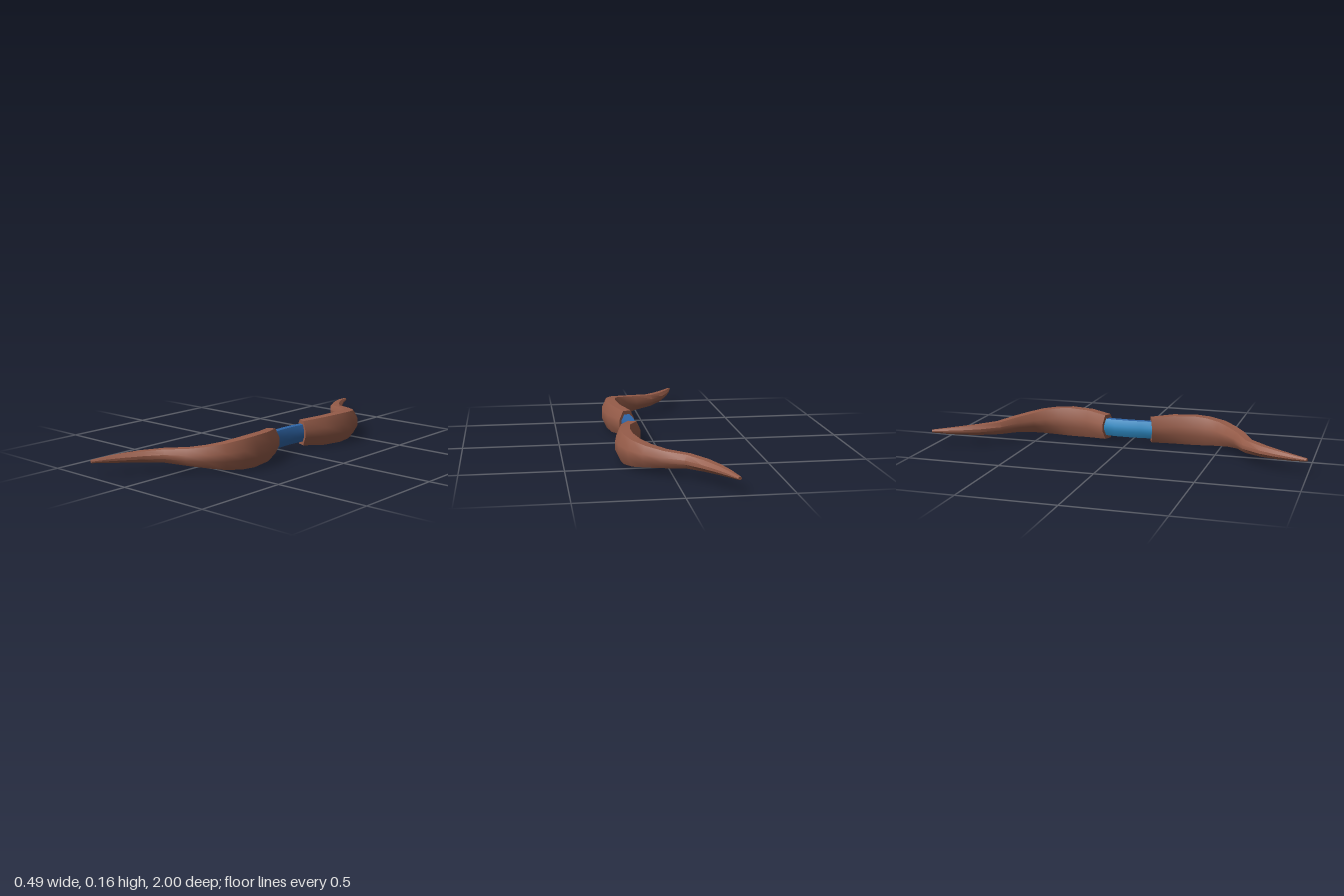
import * as THREE from 'three';
import { toCreasedNormals } from 'three/addons/utils/BufferGeometryUtils.js';

const MID_Y = 0.079;

// Eight-sided cross-section, scaled by half width and half height
const SECTION = [[1, -0.3], [1, 0.3], [0.5, 1], [-0.5, 1], [-1, 0.3], [-1, -0.3], [-0.5, -1], [0.5, -1]];

// Sweep the section along stations [x, z, halfWidth, halfHeight] running towards +z
function loft(stations, sides, capped) {
  const n = SECTION.length;
  const last = stations.length - 1;
  const positions = [];
  const index = [];
  stations.forEach(([x, z, w, h], i) => {
    const a = stations[Math.max(i - 1, 0)];
    const b = stations[Math.min(i + 1, last)];
    const t = new THREE.Vector2(b[0] - a[0], b[1] - a[1]).normalize();
    for (const [u, v] of SECTION) {
      positions.push(x + t.y * u * w, MID_Y + v * h, z - t.x * u * w);
    }
  });
  for (let i = 0; i < last; i++) {
    for (const j of sides) {
      const k = (j + 1) % n;
      const a = i * n + j, b = i * n + k, c = a + n, d = b + n;
      index.push(a, b, d, a, d, c);
    }
  }
  if (capped) {
    const e = last * n;
    for (let j = 1; j < n - 1; j++) {
      index.push(0, j + 1, j, e, e + j, e + j + 1);
    }
  }
  const geometry = new THREE.BufferGeometry();
  geometry.setAttribute('position', new THREE.Float32BufferAttribute(positions, 3));
  geometry.setIndex(index);
  return toCreasedNormals(geometry, 0.7);
}

export function createModel() {
  const group = new THREE.Group();
  const wood = new THREE.MeshStandardMaterial({ color: 0x965c49 });
  wood.name = 'brownWood';
  const lightBlue = new THREE.MeshStandardMaterial({ color: 0x2f8cc6 });
  lightBlue.name = 'lightBlueGrip';
  const darkBlue = new THREE.MeshStandardMaterial({ color: 0x2f66a8 });
  darkBlue.name = 'darkBlueGrip';

  const add = (name, geometry, material) => {
    const mesh = new THREE.Mesh(geometry, material);
    mesh.name = name;
    group.add(mesh);
  };

  // Recurved limbs, mirrored front to back
  const limb = [
    [0.127, 0.122, 0.045, 0.066],
    [0.175, 0.235, 0.047, 0.076],
    [0.190, 0.350, 0.050, 0.079],
    [0.184, 0.425, 0.050, 0.075],
    [0.155, 0.505, 0.050, 0.065],
    [0.105, 0.567, 0.047, 0.053],
    [0.035, 0.628, 0.041, 0.042],
    [-0.068, 0.685, 0.036, 0.033],
    [-0.135, 0.770, 0.033, 0.027],
    [-0.180, 0.850, 0.026, 0.021],
    [-0.212, 0.920, 0.018, 0.015],
    [-0.240, 0.997, 0.010, 0.007],
  ];
  const allSides = [0, 1, 2, 3, 4, 5, 6, 7];
  const mirrored = limb.map(([x, z, w, h]) => [x, -z, w, h]).reverse();
  add('frontLimb', loft(limb, allSides, true), wood);
  add('backLimb', loft(mirrored, allSides, true), wood);

  // Slightly bowed grip, its ends sunk into the limbs
  const grip = [-0.14, -0.07, 0, 0.07, 0.14].map((z) => [0.118 + 0.6 * z * z, z, 0.031, 0.046]);
  add('gripInnerSide', loft(grip, [3, 4, 5], false), lightBlue);
  add('gripOuterSide', loft(grip, [0, 1, 2, 6, 7], false), darkBlue);

  return group;
}
